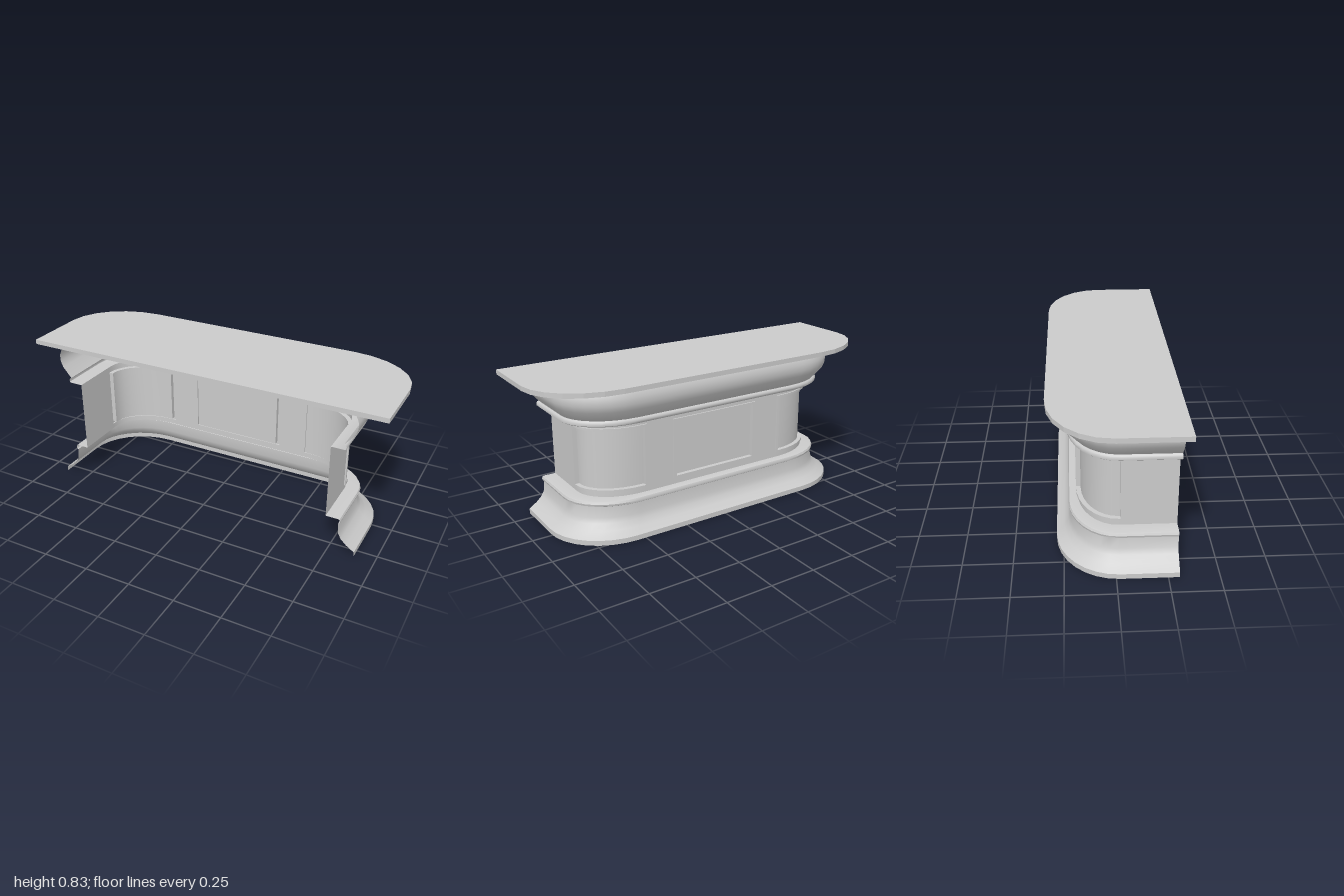
import * as THREE from 'three';
import { toCreasedNormals } from 'three/addons/utils/BufferGeometryUtils.js';

const FRONT = 0.305, CORNER_Z = 0.02, ARC = 8;
const WALL = [0.73, -0.176];
const mat = new THREE.MeshStandardMaterial({ color: 0xcccccc, side: THREE.DoubleSide });

// Point on the plan curve: |u| 0..1 straight back, 1..2 rounded corner, 2..3 straight side.
// w = half width, zb = back depth, d = offset outwards.
function planPoint(u, y, w, zb, d = 0) {
  const s = u < 0 ? -1 : 1, a = Math.abs(u), cx = 0.61 * w;
  const rx = w - cx, rz = CORNER_Z - zb;
  let x, z, nx = 0, nz = -1;
  if (a <= 1) { x = cx * a; z = zb; }
  else if (a <= 2) {
    const t = (a - 1) * Math.PI / 2;
    x = cx + rx * Math.sin(t); z = CORNER_Z - rz * Math.cos(t);
    nx = Math.sin(t) / rx; nz = -Math.cos(t) / rz;
    const l = Math.hypot(nx, nz); nx /= l; nz /= l;
  } else { x = w; z = CORNER_Z + (a - 2) * (FRONT - CORNER_Z); nx = 1; nz = 0; }
  return [s * (x + nx * d), y, z + nz * d];
}

// Sample values of u between a and b, dense in the corners
function uSteps(a, b) {
  const list = [a];
  for (const s of [-1, 1]) for (let k = 0; k <= ARC; k++) {
    const u = s * (1 + k / ARC);
    if (u > a + 1e-4 && u < b - 1e-4) list.push(u);
  }
  list.push(b);
  return list.sort((p, q) => p - q);
}

// Surface through rows of points
function sheet(name, rows) {
  const n = rows[0].length, index = [];
  for (let i = 0; i < rows.length - 1; i++) for (let j = 0; j < n - 1; j++) {
    const a = i * n + j, b = a + n;
    index.push(a, b, a + 1, a + 1, b, b + 1);
  }
  const g = new THREE.BufferGeometry();
  g.setAttribute('position', new THREE.Float32BufferAttribute(rows.flat(2), 3));
  g.setIndex(index);
  const mesh = new THREE.Mesh(toCreasedNormals(g, 0.65), mat);
  mesh.name = name;
  return mesh;
}

const wallPatch = (name, u0, u1, y0, y1, d = 0) =>
  sheet(name, [y0, y1].map(y => uSteps(u0, u1).map(u => planPoint(u, y, ...WALL, d))));

// Moulding swept round the plan; profile entries are [half width, back z, y]
const moulding = (name, profile) =>
  sheet(name, profile.map(([w, zb, y]) => uSteps(-3, 3).map(u => planPoint(u, y, w, zb))));

// Raised frame with a recessed field; inner = [u0, u1, y0, y1] inside outer
function panel(name, outer, inner) {
  const group = new THREE.Group();
  group.name = name;
  const ring = ([u0, u1, y0, y1], d) => {
    const mid = uSteps(outer[0], outer[1]).slice(1, -1).filter(u => u > inner[0] && u < inner[1]);
    const us = [u0, ...mid, u1];
    const loop = [...us.map(u => [u, y0]), ...us.reverse().map(u => [u, y1]), [u0, y0]];
    return loop.map(([u, y]) => planPoint(u, y, ...WALL, d));
  };
  group.add(sheet('panelFrame', [ring(outer, 0), ring(outer, 0.008), ring(inner, 0.008), ring(inner, -0.016)]));
  group.add(wallPatch('panelField', ...inner, -0.016));
  return group;
}

export function createModel() {
  const model = new THREE.Group();
  model.name = 'receptionDesk';

  // Table top with two rounded back corners
  const shape = new THREE.Shape();
  shape.moveTo(-1, -0.323);
  shape.lineTo(1, -0.323);
  for (const s of [1, -1]) for (let k = 0; k <= 6; k++) {
    const t = (s > 0 ? k : 6 - k) / 6 * Math.PI / 2;
    shape.lineTo(s * (0.61 + 0.39 * Math.cos(t)), 0.013 + 0.31 * Math.sin(t));
  }
  shape.closePath();
  const topGeo = new THREE.ExtrudeGeometry(shape, { depth: 0.025, bevelEnabled: false });
  topGeo.rotateX(-Math.PI / 2).translate(0, 0.801, 0);
  const top = new THREE.Mesh(topGeo, mat);
  top.name = 'tableTop';
  model.add(top);

  // Flared plinth with a rounded lip
  model.add(moulding('base', [
    [0.892, -0.287, 0], [0.892, -0.287, 0.027], [0.848, -0.247, 0.056], [0.818, -0.227, 0.085],
    [0.803, -0.218, 0.112], [0.797, -0.216, 0.172], [0.805, -0.222, 0.176], [0.808, -0.224, 0.187],
    [0.803, -0.219, 0.198], [0.797, -0.214, 0.2], [...WALL, 0.2]]));

  // Bead and swelling cornice below the top
  model.add(moulding('cornice', [
    [...WALL, 0.6], [0.8, -0.217, 0.6], [0.807, -0.222, 0.605], [0.808, -0.224, 0.616],
    [0.803, -0.22, 0.626], [0.795, -0.215, 0.63], [0.843, -0.258, 0.687], [0.856, -0.267, 0.72],
    [0.857, -0.268, 0.755], [0.847, -0.258, 0.78], [0.836, -0.248, 0.801]]));

  // Panels: one flat in the middle, one curved on each corner
  const cx = 0.61 * WALL[0];
  const side = z => 2 + (z - CORNER_Z) / (FRONT - CORNER_Z);
  const m = 0.265 / cx, mi = 0.248 / cx;
  const c = [0.42 / cx, side(0.04)], ci = [0.435 / cx, side(0.027)];
  const flip = ([a, b]) => [-b, -a];
  const panels = [
    { name: 'rightCornerPanel', out: [...flip(c), 0.228, 0.572], inn: [...flip(ci), 0.24, 0.56] },
    { name: 'middlePanel', out: [-m, m, 0.234, 0.566], inn: [-mi, mi, 0.247, 0.553] },
    { name: 'leftCornerPanel', out: [...c, 0.228, 0.572], inn: [...ci, 0.24, 0.56] }];

  // Thin wall, left open where the panels sit
  let u = -3;
  for (const { name, out, inn } of panels) {
    model.add(wallPatch('wall', u, out[0], 0.2, 0.6));
    model.add(wallPatch('wallBelowPanel', out[0], out[1], 0.2, out[2]));
    model.add(wallPatch('wallAbovePanel', out[0], out[1], out[3], 0.6));
    model.add(panel(name, out, inn));
    u = out[1];
  }
  model.add(wallPatch('wall', u, 3, 0.2, 0.6));
  return model;
}
